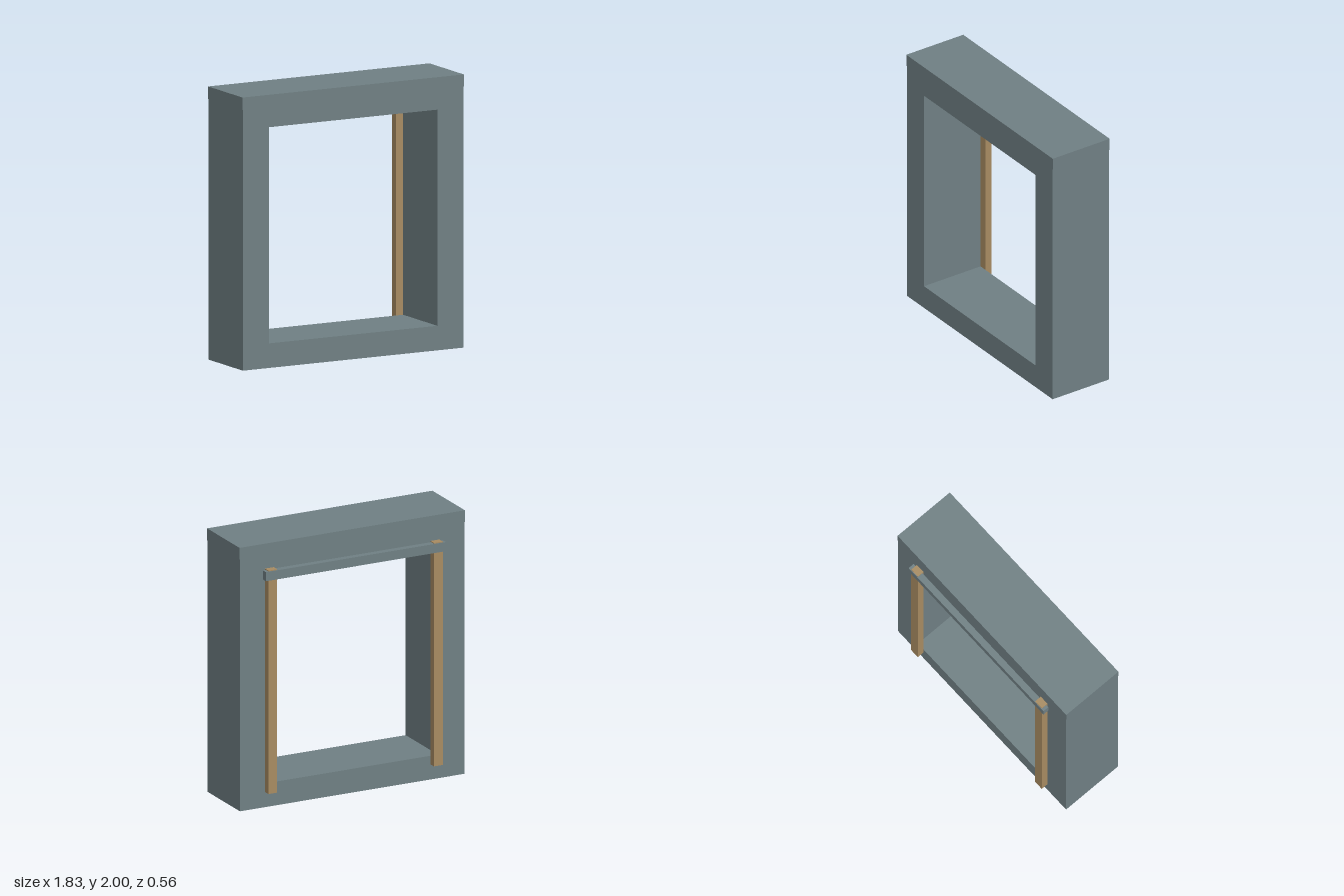
import * as THREE from 'three';

const greyMaterial = new THREE.MeshStandardMaterial({ color: 0x708084 });
greyMaterial.name = 'slateGrey';
const woodMaterial = new THREE.MeshStandardMaterial({ color: 0xa88c62 });
woodMaterial.name = 'wood';

// Box given by its lower and upper limits on each axis
function addBox(group, name, material, [x0, x1], [y0, y1], [z0, z1]) {
  const mesh = new THREE.Mesh(new THREE.BoxGeometry(x1 - x0, y1 - y0, z1 - z0), material);
  mesh.position.set((x0 + x1) / 2, (y0 + y1) / 2, (z0 + z1) / 2);
  mesh.name = name;
  group.add(mesh);
}

function rectangle(path, x, y0, y1) {
  return path.moveTo(-x, y0).lineTo(x, y0).lineTo(x, y1).lineTo(-x, y1).closePath();
}

export function createModel() {
  const model = new THREE.Group();
  model.name = 'doorFrame';

  // Deep frame with a rectangular opening
  const outline = rectangle(new THREE.Shape(), 0.912, 0, 1.91);
  outline.holes.push(rectangle(new THREE.Path(), 0.697, 0.18, 1.762));
  const frame = new THREE.Mesh(
    new THREE.ExtrudeGeometry(outline, { depth: 0.497, bevelEnabled: false }), greyMaterial);
  frame.position.z = -0.22;
  frame.name = 'frame';
  model.add(frame);

  // Cap, a touch wider than the frame
  addBox(model, 'topCap', greyMaterial, [-0.916, 0.916], [1.91, 2], [-0.222, 0.279]);

  // Rear posts, standing just proud of the crossbar
  for (const [name, side] of [['leftPost', 1], ['rightPost', -1]]) {
    const xs = [0.637 * side, 0.709 * side].sort((a, b) => a - b);
    addBox(model, name, woodMaterial, xs, [0.115, 1.81], [-0.274, -0.22]);
  }

  // Crossbar through the post tops
  addBox(model, 'crossbar', greyMaterial, [-0.732, 0.732], [1.735, 1.804], [-0.279, -0.231]);

  return model;
}
